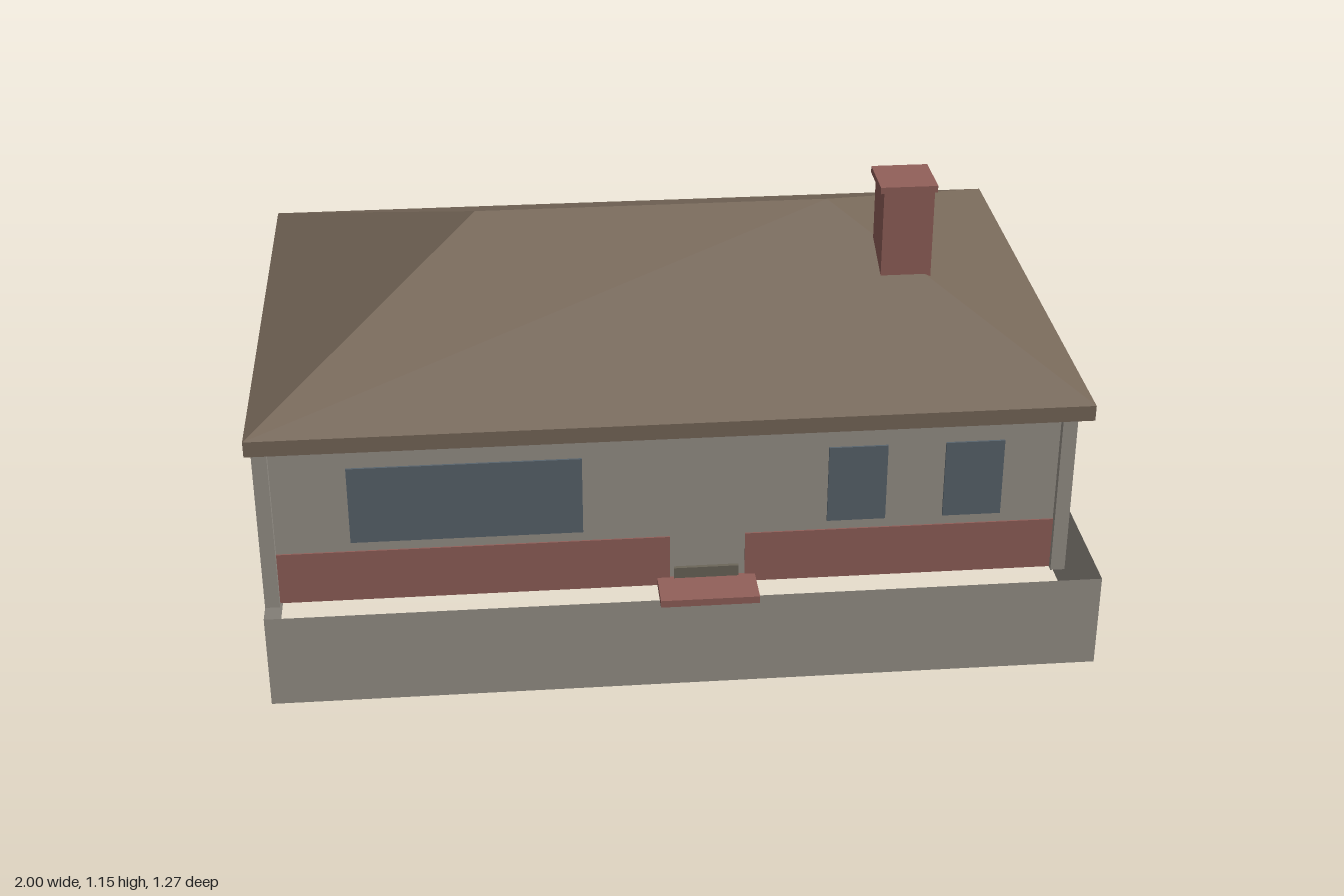
import * as THREE from 'three';

const paint = (name, color, side = THREE.FrontSide) => {
  const m = new THREE.MeshStandardMaterial({ color, side });
  m.name = name;
  return m;
};

export function createModel() {
  const house = new THREE.Group();
  house.name = 'house';
  const stone = paint('stone grey', 0x98938a, THREE.DoubleSide);
  const brick = paint('brick red', 0x92605a);
  const roofing = paint('roof brown', 0x776859);
  const glass = paint('window blue grey', 0x59646d);
  const mat = paint('sill brown', 0x6c665a);

  const add = (name, geometry, material) => {
    const mesh = new THREE.Mesh(geometry, material);
    mesh.name = name;
    house.add(mesh);
    return mesh;
  };
  // Box given by its limits on each axis
  const box = (name, material, [x0, x1], [y0, y1], [z0, z1]) => {
    const g = new THREE.BoxGeometry(x1 - x0, y1 - y0, z1 - z0);
    g.translate((x0 + x1) / 2, (y0 + y1) / 2, (z0 + z1) / 2);
    return add(name, g, material);
  };
  // Plate on a wall: side is +1 or -1, from is the depth it starts at
  const span = (side, from, thick) => (side > 0 ? [from, from + thick] : [from - thick, from]);

  // Open foundation skirt
  const ring = [[-1, -0.555], [-1, 0.555], [1, 0.555], [1, -0.555]];
  ring.forEach(([x, z], i) => {
    const [x2, z2] = ring[(i + 1) % 4];
    const g = new THREE.PlaneGeometry(Math.hypot(x2 - x, z2 - z), 0.24);
    g.rotateY(Math.atan2(z - z2, x2 - x));
    g.translate((x + x2) / 2, 0.12, (z + z2) / 2);
    add('foundationWall', g, stone);
  });

  // Body walls, brick base and corner posts
  const xMid = -0.04, halfX = 0.94, halfZ = 0.487;
  const wallX = [-0.975, 0.895], wallZ = [-0.482, 0.482];
  const brickX = [-0.965, 0.885], brickZ = [-0.475, 0.475];
  const wallY = [0.242, 0.722], brickY = [0.242, 0.375], winY = [0.415, 0.605];
  for (const s of [1, -1]) {
    const wz = s * halfZ, wx = xMid + s * halfX;
    box(s > 0 ? 'frontWall' : 'backWall', stone, wallX, wallY, span(-s, wz, 0.006));
    box(s > 0 ? 'leftWall' : 'rightWall', stone, span(-s, wx, 0.006), wallY, wallZ);
    box('sideBrickBase', brick, span(s, wx, 0.004), brickY, brickZ);
    for (const t of [1, -1]) {
      box('cornerPost', stone, span(-s, xMid + s * 0.96, 0.035), [0.24, 0.73], span(-t, t * 0.505, 0.03));
      box('sideWindow', glass, span(s, wx, 0.005), winY, t > 0 ? [0.168, 0.298] : [-0.298, -0.168]);
    }
  }
  box('backBrickBase', brick, brickX, brickY, span(-1, -halfZ, 0.004));
  box('frontBrickBase', brick, [-0.965, -0.04], brickY, span(1, halfZ, 0.004));
  box('frontBrickBase', brick, [0.14, 0.885], brickY, span(1, halfZ, 0.004));

  // Front and back windows
  for (const x of [[-0.79, -0.245], [0.335, 0.475], [0.613, 0.753]])
    box('frontWindow', glass, x, [0.4, 0.598], span(1, halfZ, 0.005));
  for (const x of [[0.47, 0.615], [-0.105, 0.04], [-0.685, -0.54]])
    box('backWindow', glass, x, winY, span(-1, -halfZ, 0.005));

  // Doorway sill and step
  box('doorSill', mat, [-0.03, 0.125], [0.26, 0.29], [halfZ, 0.496]);
  box('doorStep', brick, [-0.07, 0.165], [0.244, 0.262], [0.485, 0.593]);

  // Hipped roof on a closed eave slab
  const ex0 = -1, ex1 = 0.92, ez = 0.637, ey = 0.76;
  box('eaves', roofing, [ex0, ex1], [0.722, ey], [-ez, ez]);
  const a = [ex0, ey, ez], b = [ex1, ey, ez], c = [ex1, ey, -ez], d = [ex0, ey, -ez];
  const r0 = [-0.47, 1.02, 0], r1 = [0.39, 1.02, 0];
  const faces = [a, b, r1, a, r1, r0, b, c, r1, c, d, r0, c, r0, r1, d, a, r0];
  const hip = new THREE.BufferGeometry();
  hip.setAttribute('position', new THREE.Float32BufferAttribute(faces.flat(), 3));
  hip.computeVertexNormals();
  add('hippedRoof', hip, roofing);

  // Chimney with cap
  box('chimney', brick, [0.485, 0.605], [0.86, 1.135], [0.125, 0.242]);
  box('chimneyCap', brick, [0.475, 0.61], [1.134, 1.15], [0.115, 0.25]);

  return house;
}
